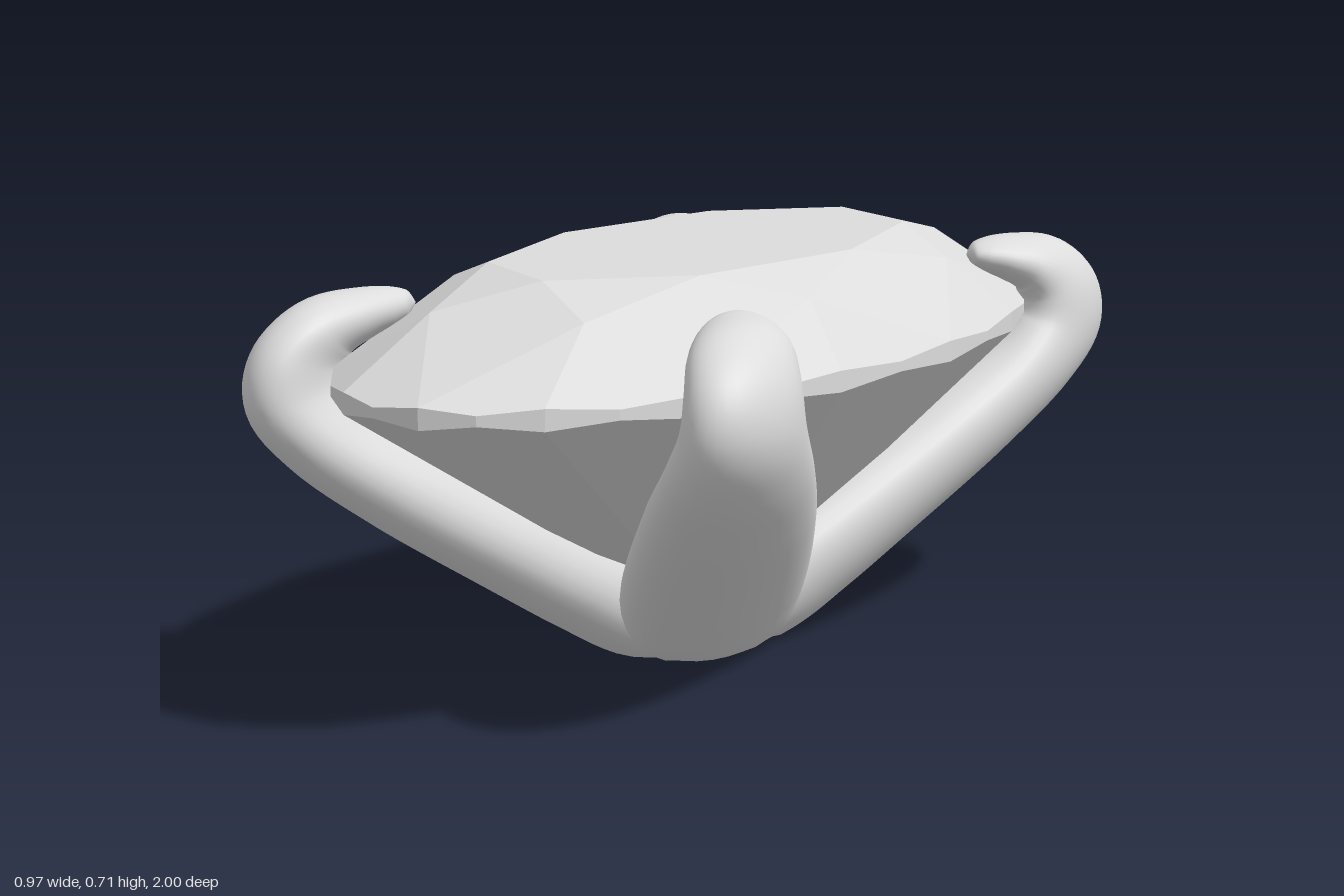
import * as THREE from 'three';

const stoneMat = new THREE.MeshStandardMaterial({ color: 0xdcdcdc, flatShading: true });
stoneMat.name = 'stone grey';
const metalMat = new THREE.MeshStandardMaterial({ color: 0xdcdcdc });
metalMat.name = 'metal grey';

// Oval brilliant-cut stone: point at an angle (in 1/32 turns), relative radius and height
function gemPoint(step, radius, y) {
  const a = (step / 32) * Math.PI * 2;
  return new THREE.Vector3(0.47 * radius * Math.sin(a), y, radius * Math.cos(a));
}

function createGem() {
  const positions = [];
  const middle = new THREE.Vector3(0, 0.5, 0);
  // Adds one facet as a fan, turned so that it faces outwards
  const facet = (...pts) => {
    for (let i = 1; i < pts.length - 1; i++) {
      const [a, b, c] = [pts[0], pts[i], pts[i + 1]];
      const normal = b.clone().sub(a).cross(c.clone().sub(a));
      const outward = a.clone().add(b).add(c).divideScalar(3).sub(middle);
      const order = normal.dot(outward) > 0 ? [a, b, c] : [a, c, b];
      order.forEach((p) => positions.push(p.x, p.y, p.z));
    }
  };
  const table = (k) => gemPoint(4 * k, 0.6, 0.716);
  const star = (k) => gemPoint(4 * k + 2, 0.78, 0.671);
  const upper = (s) => gemPoint(s, 1, s % 2 ? 0.559 : 0.568);
  const lower = (s) => gemPoint(s, 1, s % 2 ? 0.542 : 0.532);
  const pavilion = (k) => gemPoint(4 * k + 2, 0.22, 0.14);
  const culet = new THREE.Vector3(0, 0.04, 0);
  const top = new THREE.Vector3(0, 0.716, 0);

  for (let k = 0; k < 8; k++) {
    // Crown: table, star and bezel facets
    facet(top, table(k), table(k + 1));
    facet(table(k), star(k), table(k + 1));
    facet(table(k), star(k + 7), upper(4 * k), star(k));
    // Underside mains
    facet(culet, pavilion(k + 7), lower(4 * k), pavilion(k));
    // Facets along both sides of the girdle
    for (let i = 0; i < 4; i++) {
      const s = 4 * k + i;
      facet(star(k), upper(s), upper(s + 1));
      facet(pavilion(k), lower(s), lower(s + 1));
      facet(lower(s), lower(s + 1), upper(s + 1), upper(s));
    }
  }
  const geo = new THREE.BufferGeometry();
  geo.setAttribute('position', new THREE.Float32BufferAttribute(positions, 3));
  geo.computeVertexNormals();
  const mesh = new THREE.Mesh(geo, stoneMat);
  mesh.name = 'gemstone';
  return mesh;
}

// Claw: elliptical sections swept along a hooked path; [reach, height, half thickness, half width]
const CLAW = [
  [-0.04, 0.05, 0.1, 0.12], [0.08, 0.092, 0.107, 0.136], [0.16, 0.15, 0.106, 0.138],
  [0.26, 0.226, 0.1, 0.135], [0.414, 0.345, 0.09, 0.122], [0.527, 0.443, 0.079, 0.102],
  [0.573, 0.515, 0.076, 0.086], [0.572, 0.575, 0.068, 0.08], [0.54, 0.62, 0.058, 0.074],
  [0.49, 0.641, 0.044, 0.06], [0.45, 0.649, 0.033, 0.043], [0.428, 0.651, 0.022, 0.028],
  [0.417, 0.651, 0.001, 0.001],
];

function createClawGeometry() {
  const path = new THREE.CatmullRomCurve3(CLAW.map(([r, y]) => new THREE.Vector3(r, y, 0)));
  const size = new THREE.CatmullRomCurve3(CLAW.map(([, , a, b]) => new THREE.Vector3(a, b, 0)));
  const rings = 78, sides = 36;
  const positions = [], index = [];
  for (let i = 0; i <= rings; i++) {
    const t = i / rings;
    const p = path.getPoint(t), d = path.getTangent(t), s = size.getPoint(t);
    for (let j = 0; j < sides; j++) {
      const a = (j / sides) * Math.PI * 2;
      const n = s.x * Math.cos(a);
      // The foot is flattened on the ground
      positions.push(p.x - d.y * n, Math.max(0.002, p.y + d.x * n), s.y * Math.sin(a));
      if (i < rings) {
        const j2 = (j + 1) % sides, q = i * sides;
        index.push(q + j, q + j2, q + sides + j, q + j2, q + sides + j2, q + sides + j);
      }
    }
  }
  const geo = new THREE.BufferGeometry();
  geo.setAttribute('position', new THREE.Float32BufferAttribute(positions, 3));
  geo.setIndex(index);
  geo.computeVertexNormals();
  return geo;
}

export function createModel() {
  const model = new THREE.Group();
  model.name = 'claw set oval gem';
  model.add(createGem());

  // Four claws on the diagonals, stretched lengthwise to suit the oval
  const setting = new THREE.Group();
  setting.name = 'setting';
  const geo = createClawGeometry();
  ['frontLeftClaw', 'frontRightClaw', 'backRightClaw', 'backLeftClaw'].forEach((name, k) => {
    const claw = new THREE.Mesh(geo, metalMat);
    claw.name = name;
    claw.rotation.y = -Math.PI / 4 - (k * Math.PI) / 2;
    setting.add(claw);
  });
  setting.scale.z = 1.71;
  model.add(setting);
  return model;
}
